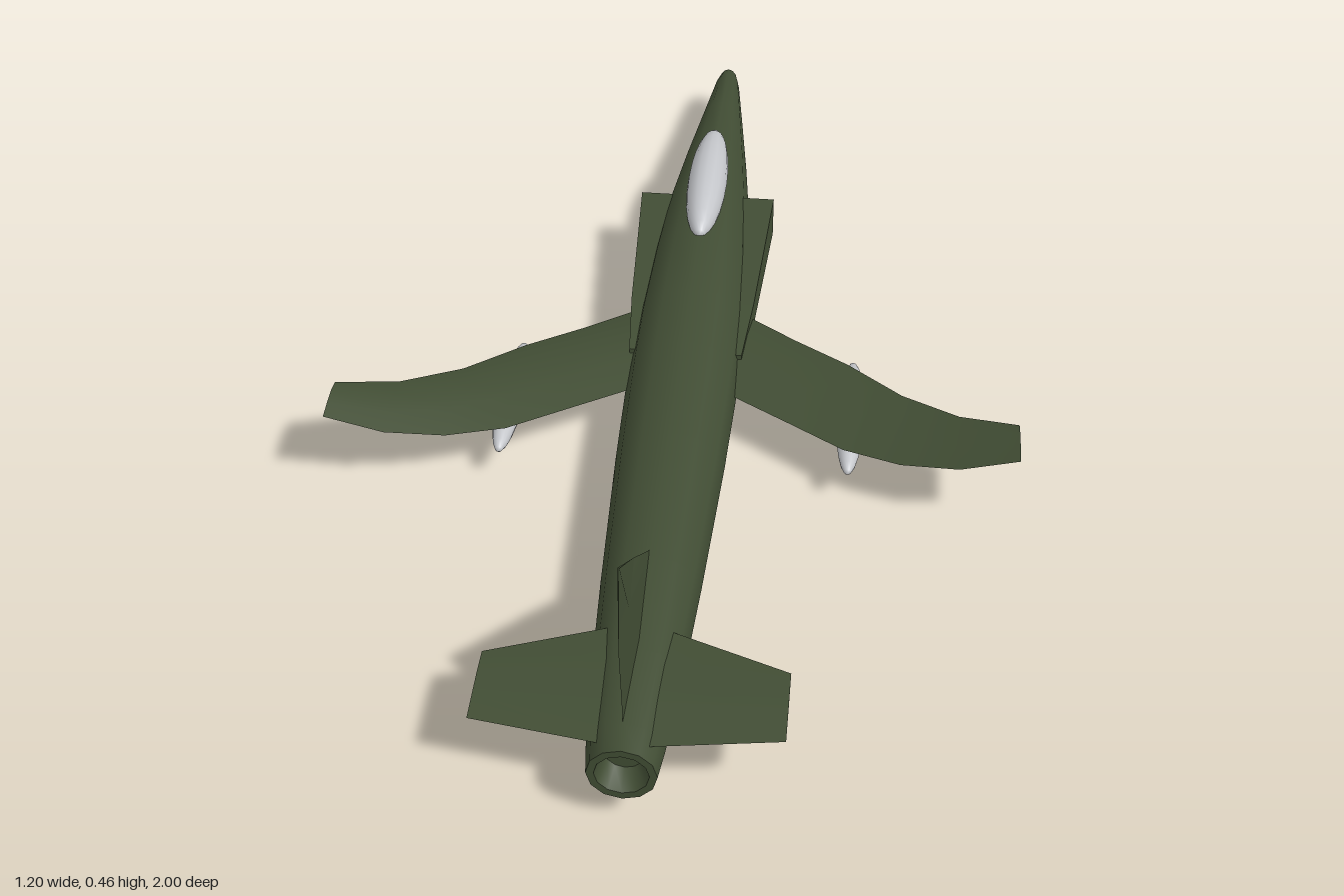
import * as THREE from 'three';
import { toCreasedNormals } from 'three/addons/utils/BufferGeometryUtils.js';

const material = (name, color) => {
  const m = new THREE.MeshStandardMaterial({ color });
  m.name = name;
  return m;
};

// Skin a list of closed rings (each an array of [x, y, z]) and cap both ends.
function loft(rings, flip = false, crease = 0.7) {
  const n = rings[0].length, last = (rings.length - 1) * n, index = [];
  const tri = (a, b, c) => (flip ? index.push(a, c, b) : index.push(a, b, c));
  for (let i = 0; i < rings.length - 1; i++) {
    for (let j = 0; j < n; j++) {
      const k = (j + 1) % n, a = i * n, b = a + n;
      tri(a + j, a + k, b + j);
      tri(a + k, b + k, b + j);
    }
  }
  for (let j = 1; j < n - 1; j++) {
    tri(0, j + 1, j);
    tri(last, last + j, last + j + 1);
  }
  const g = new THREE.BufferGeometry();
  g.setAttribute('position', new THREE.Float32BufferAttribute(rings.flat(2), 3));
  g.setIndex(index);
  return toCreasedNormals(g, crease);
}

// Wing-like ring at a given span: lead and trail in z, centre height y, thickness t.
const foil = (x, lead, trail, y, t) => {
  const z = (f) => lead + (trail - lead) * f;
  return [[x, y + t / 2, z(0.3)], [x, y + t * 0.35, z(0.65)], [x, y, trail],
    [x, y - t * 0.35, z(0.65)], [x, y - t / 2, z(0.3)], [x, y, lead]];
};

export function createModel() {
  const model = new THREE.Group();
  const green = material('olive green', 0x414d34);
  const grey = material('light grey', 0xc4c6ca);
  const mauve = material('mauve grey', 0x88828c);

  const add = (name, geometry, mat, x = 0, y = 0, z = 0) => {
    const mesh = new THREE.Mesh(geometry, mat);
    mesh.name = name;
    mesh.position.set(x, y, z);
    model.add(mesh);
    return mesh;
  };
  const ellipsoid = (rx, ry, rz) =>
    new THREE.SphereGeometry(1, 16, 12).rotateX(Math.PI / 2).scale(rx, ry, rz);

  // Fuselage: z, top, bottom, half width; the last rows fold into the tailpipe
  const sections = [
    [-0.99, 0.105, 0.088, 0.008], [-0.975, 0.12, 0.07, 0.018], [-0.94, 0.129, 0.06, 0.026],
    [-0.8, 0.145, 0.043, 0.044], [-0.62, 0.168, 0.025, 0.066], [-0.45, 0.186, 0.013, 0.084],
    [-0.28, 0.188, 0.008, 0.095], [-0.1, 0.179, 0.009, 0.103], [0.05, 0.173, 0.012, 0.103],
    [0.3, 0.171, 0.02, 0.096], [0.6, 0.17, 0.034, 0.083], [0.8, 0.17, 0.045, 0.072],
    [0.95, 0.168, 0.053, 0.06], [1, 0.166, 0.058, 0.054], [1, 0.153, 0.071, 0.042],
    [0.96, 0.142, 0.082, 0.03],
  ];
  add('fuselage', loft(sections.map(([z, top, bottom, w]) =>
    Array.from({ length: 12 }, (_, j) => {
      const a = (j / 12) * Math.PI * 2;
      return [Math.cos(a) * w, (top + bottom) / 2 + Math.sin(a) * (top - bottom) / 2, z];
    }))), green);

  // Canopy, nose fairing, nose probe and belly blister
  add('canopy', ellipsoid(0.039, 0.042, 0.182), grey, 0, 0.186, -0.438);
  add('noseFairing', ellipsoid(0.018, 0.014, 0.1), mauve, 0, 0.058, -0.865).rotation.x = -0.08;
  add('noseProbe', new THREE.CylinderGeometry(0.006, 0.006, 0.07, 8).rotateX(Math.PI / 2),
    green, 0, 0.064, -0.965);
  add('bellyBlister', ellipsoid(0.009, 0.01, 0.018), mauve, 0, 0.01, 0.02);

  for (const s of [1, -1]) {
    const side = s > 0 ? 'left' : 'right';
    const mirror = (rings) => rings.map((r) => r.map(([x, y, z]) => [x * s, y, z]));
    // Rings along x turn from +y to +z; mirrored ones need flipped faces
    const spanLoft = (rings) => loft(mirror(rings), s < 0);

    // Upswept curved wing
    add(side + 'Wing', spanLoft([
      foil(0.06, -0.155, 0.09, 0.1, 0.034), foil(0.2, -0.06, 0.175, 0.1, 0.032),
      foil(0.3, 0.005, 0.24, 0.103, 0.03), foil(0.4, 0.1, 0.285, 0.117, 0.026),
      foil(0.5, 0.18, 0.318, 0.145, 0.019), foil(0.6, 0.24, 0.333, 0.186, 0.01),
    ]), green);

    // Flat tailplane
    add(side + 'Tailplane', spanLoft([
      foil(0.03, 0.735, 0.975, 0.149, 0.008), foil(0.24, 0.81, 0.945, 0.149, 0.006),
    ]), green);

    // Air intake tapering into the wing root
    const duct = (z, outer, low, high) =>
      [[0.05, low, z], [outer, low, z], [outer, high, z], [0.05, high, z]];
    add(side + 'Intake', loft(mirror([
      duct(-0.45, 0.133, 0.06, 0.145), duct(-0.12, 0.116, 0.075, 0.131),
      duct(0.02, 0.104, 0.085, 0.122),
    ]), s < 0, 0.4), green);

    // Wing tank with a small lower fin
    add(side + 'Tank', ellipsoid(0.025, 0.024, 0.152), grey, s * 0.31, 0.074, 0.118);
    add(side + 'TankFin', new THREE.BoxGeometry(0.006, 0.022, 0.03), grey, s * 0.31, 0.05, 0.072);
  }

  // Upright tail fin, slightly leaning
  const finRing = (y, x, lead, trail, t) =>
    [[x, y, trail], [x + t / 2, y, lead + (trail - lead) * 0.55], [x, y, lead],
      [x - t / 2, y, lead + (trail - lead) * 0.55]];
  add('tailFin', loft([
    finRing(0.155, -0.003, 0.57, 0.946, 0.012), finRing(0.3, -0.009, 0.735, 0.931, 0.011),
    finRing(0.457, -0.008, 0.912, 0.916, 0.003),
  ]), green);

  return model;
}
